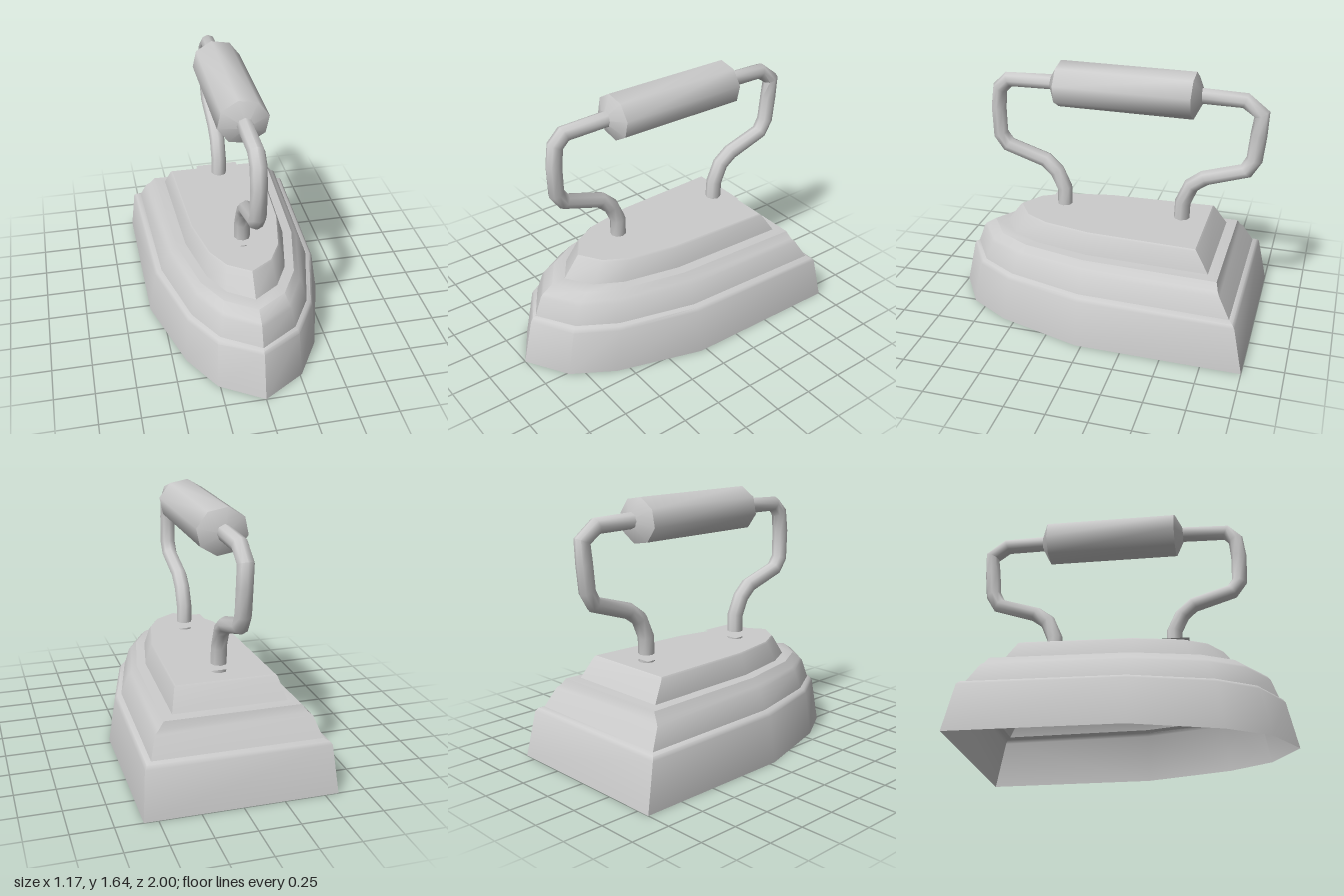
import * as THREE from 'three';
import { toCreasedNormals } from 'three/addons/utils/BufferGeometryUtils.js';

const material = new THREE.MeshStandardMaterial({ color: 0xcccccc, side: THREE.DoubleSide });

// Skin a list of closed rings (each an array of Vector3)
function loft(rings, crease) {
  const n = rings[0].length, index = [];
  for (let i = 0; i < rings.length - 1; i++) {
    for (let j = 0; j < n; j++) {
      const k = (j + 1) % n;
      const a = i * n + j, b = i * n + k, c = a + n, d = b + n;
      index.push(a, c, b, b, c, d);
    }
  }
  const geometry = new THREE.BufferGeometry().setFromPoints(rings.flat());
  geometry.setIndex(index);
  return toCreasedNormals(geometry, crease);
}

// Pointed sole outline: straight back, nearly parallel sides, tapered nose
function outline([y, w, back, front]) {
  const mid = 0.04, reach = front - mid;
  const half = [
    [w, back],
    [w * (0.985 - 0.12 * y), mid],
    [w * 0.71, mid + reach * 0.56],
    [w * 0.45, mid + reach * 0.83],
  ];
  const mirrored = half.map(([x, z]) => [-x, z]).reverse();
  return [...half, [0, front], ...mirrored].map(([x, z]) => new THREE.Vector3(x, y, z));
}

// Round bar along a path of [z, y] points, mitred at the bends
function bar(path, radius, sides = 8) {
  const pts = path.map(([z, y]) => new THREE.Vector3(0, y, z));
  const rings = pts.map((p, i) => {
    const before = p.clone().sub(pts[Math.max(i - 1, 0)]).normalize();
    const after = pts[Math.min(i + 1, pts.length - 1)].clone().sub(p).normalize();
    const along = before.add(after).normalize();
    const across = new THREE.Vector3(1, 0, 0);
    const normal = along.clone().cross(across);
    return Array.from({ length: sides }, (_, j) => {
      const t = -j / sides * Math.PI * 2;
      return p.clone()
        .addScaledVector(across, Math.cos(t) * radius)
        .addScaledVector(normal, Math.sin(t) * radius);
    });
  });
  return loft(rings, 1);
}

export function createModel() {
  const group = new THREE.Group();
  const add = (name, geometry) => {
    const mesh = new THREE.Mesh(geometry, material);
    mesh.name = name;
    group.add(mesh);
    return mesh;
  };

  // Stepped hollow body, open underneath: [height, half width, back z, front z]
  const layers = [
    [0, 0.585, -1, 1],
    [0.29, 0.56, -0.94, 0.935],
    [0.31, 0.545, -0.925, 0.92],
    [0.32, 0.515, -0.9, 0.9],
    [0.44, 0.475, -0.83, 0.855],
    [0.46, 0.45, -0.815, 0.84],
    [0.505, 0.415, -0.8, 0.77],
    [0.51, 0.35, -0.735, 0.68],
    [0.635, 0.315, -0.655, 0.585],
    [0.645, 0.305, -0.645, 0.575],
    [0.645, 0, 0.04, 0.04],
  ];
  add('body', loft(layers.map(outline), 0.65));

  // Bent handle bars
  add('frontBar', bar([
    [0.275, 0.64], [0.275, 0.8], [0.325, 0.91], [0.4, 0.98], [0.65, 1.06],
    [0.7, 1.13], [0.705, 1.31], [0.69, 1.44], [0.63, 1.5], [0.3, 1.51],
  ], 0.05));
  add('backBar', bar([
    [-0.495, 0.64], [-0.5, 0.8], [-0.55, 0.92], [-0.63, 0.98], [-0.88, 1.06],
    [-0.925, 1.14], [-0.94, 1.3], [-0.95, 1.43], [-0.85, 1.505], [-0.55, 1.51],
  ], 0.05));

  // Eight-sided grip with pointed ends
  const profile = [[0, -0.62], [0.158, -0.55], [0.158, 0.295], [0, 0.37]];
  const grip = new THREE.LatheGeometry(profile.map(([r, z]) => new THREE.Vector2(r, z)), 8);
  grip.rotateY(0.2).rotateX(Math.PI / 2).scale(1, 0.9, 1).translate(0, 1.505, 0);
  add('grip', toCreasedNormals(grip, 0.9));

  // Thin square plates around the feet of the bars
  for (const [name, z] of [['frontPlate', 0.255], ['backPlate', -0.485]]) {
    const plate = add(name, new THREE.PlaneGeometry(0.28, 0.24).rotateX(-Math.PI / 2));
    plate.position.set(0, 0.692, z);
  }

  return group;
}
